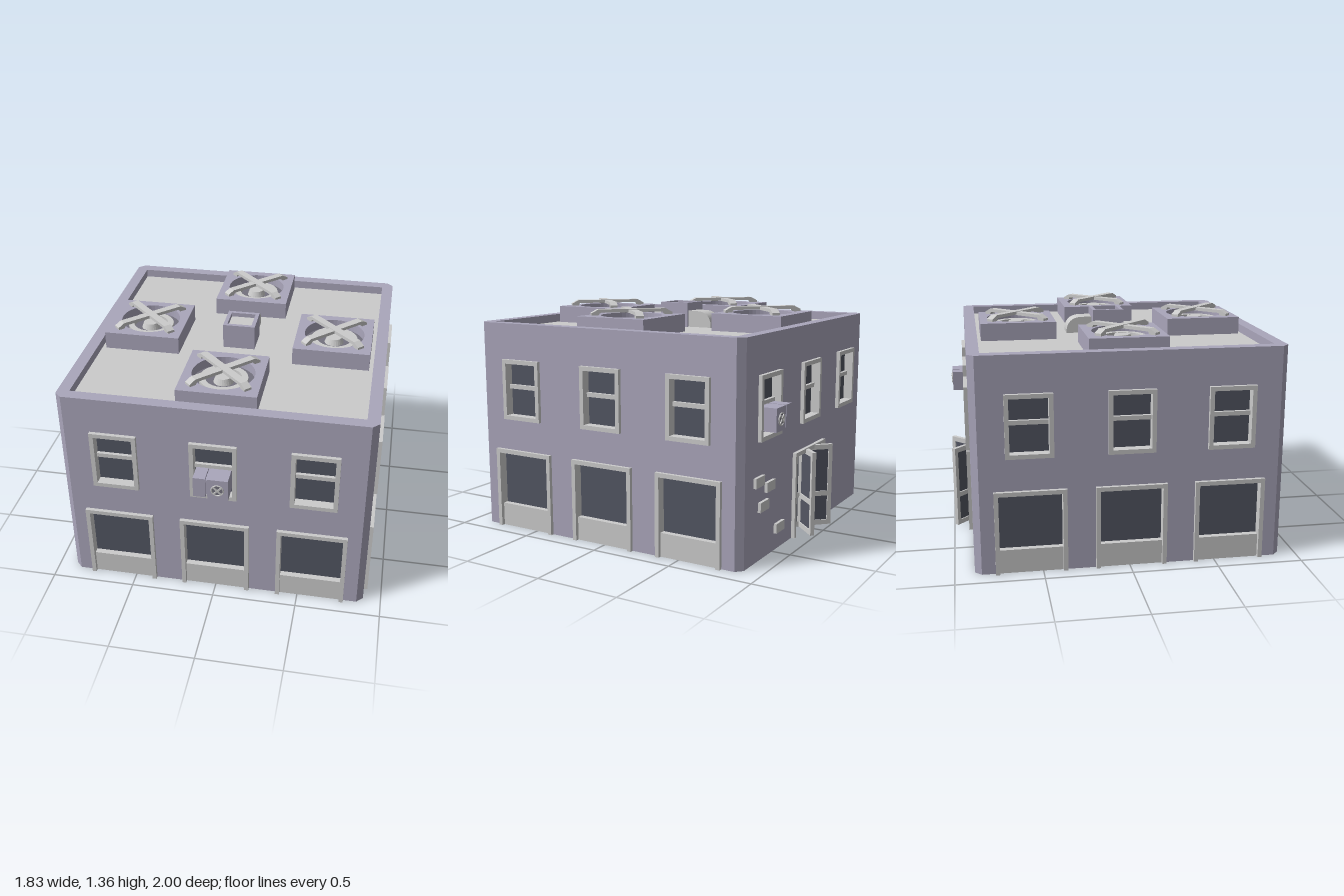
import * as THREE from 'three';

const mat = (color) => new THREE.MeshStandardMaterial({ color, flatShading: true, side: THREE.DoubleSide });
const wallMat = mat(0xaaa6bb), trimMat = mat(0xcccccc), glassMat = mat(0x535663), darkMat = mat(0x74727e);

const H = 0.895, T = 0.07, IN = H - T; // half width, wall thickness, inner half width
const TOP = 1.26, ROOF = 1.21, CZ = 0.008;

function add(parent, name, geo, material, x = 0, y = 0, z = 0) {
  const m = new THREE.Mesh(geo, material);
  m.name = name;
  m.position.set(x, y, z);
  parent.add(m);
  return m;
}

// Box given by its limits
function block(parent, name, material, x0, x1, y0, y1, z0, z1) {
  return add(parent, name, new THREE.BoxGeometry(x1 - x0, y1 - y0, z1 - z0), material,
    (x0 + x1) / 2, (y0 + y1) / 2, (z0 + z1) / 2);
}

const poly = (pts) => new THREE.Shape(pts.map(([x, y]) => new THREE.Vector2(x, y)));
const rect = (x0, x1, y0, y1) => poly([[x0, y0], [x1, y0], [x1, y1], [x0, y1]]);
const extrude = (shape, depth) =>
  new THREE.ExtrudeGeometry(shape, { depth, bevelEnabled: false, curveSegments: 24 });

// Frame with sash bar and two panes, for an upper window
function upperWindow(wall, x) {
  const g = new THREE.Group();
  g.name = 'upperWindow';
  g.position.x = x;
  const s = rect(-0.135, 0.135, 0.68, 1.045);
  s.holes.push(rect(-0.11, 0.11, 0.705, 1.02));
  add(g, 'windowFrame', extrude(s, T + 0.042), trimMat, 0, 0, -T - 0.02);
  block(g, 'sashBar', trimMat, -0.11, 0.11, 0.865, 0.89, -0.055, -0.015);
  block(g, 'windowGlass', glassMat, -0.11, 0.11, 0.705, 1.02, -0.045, -0.035);
  wall.add(g);
}

// Three-sided frame standing on the ground
function portal(parent, half, top) {
  const i = half - 0.025;
  const s = poly([[-half, 0], [-i, 0], [-i, top - 0.025], [i, top - 0.025], [i, 0], [half, 0], [half, top], [-half, top]]);
  add(parent, 'portalFrame', extrude(s, T + 0.042), trimMat, 0, 0, -T - 0.02);
}

// Shop window with a solid panel below the glass
function shopWindow(wall, x) {
  const g = new THREE.Group();
  g.name = 'shopWindow';
  g.position.x = x;
  portal(g, 0.205, 0.49);
  block(g, 'lowerPanel', trimMat, -0.18, 0.18, 0, 0.14, -0.06, 0);
  block(g, 'shopGlass', glassMat, -0.18, 0.18, 0.14, 0.465, -0.045, -0.035);
  wall.add(g);
}

// One wall, outer face on local z = 0, cut for the three windows and the ground openings
function buildWall(name, angle, openings) {
  const g = new THREE.Group();
  g.name = name;
  const pts = [[-IN, 0]];
  for (const [x, half, top] of openings)
    pts.push([x - half, 0], [x - half, top], [x + half, top], [x + half, 0]);
  pts.push([IN, 0], [IN, TOP], [-IN, TOP]);
  const s = poly(pts);
  for (const x of [-0.573, 0, 0.573]) {
    s.holes.push(rect(x - 0.12, x + 0.12, 0.69, 1.035));
    upperWindow(g, x);
  }
  add(g, 'wallPanel', extrude(s, T), wallMat, 0, 0, -T);
  g.rotation.y = angle;
  g.position.set(Math.sin(angle) * H, 0, Math.cos(angle) * H);
  return g;
}

// Rooftop fan: housing, blades ring and crossed guard bars
function roofFan(x, z) {
  const g = new THREE.Group();
  g.name = 'roofFan';
  g.position.set(x, ROOF, z);
  const s = rect(-0.228, 0.228, -0.228, 0.228);
  s.holes.push(new THREE.Path().absarc(0, 0, 0.18, 0, Math.PI * 2, true));
  add(g, 'fanHousing', extrude(s, 0.105).rotateX(-Math.PI / 2), wallMat);
  add(g, 'fanWell', new THREE.CylinderGeometry(0.18, 0.18, 0.02, 32), darkMat, 0, 0.04, 0);
  const ring = [[0.105, 0.05], [0.14, 0.05], [0.14, 0.075], [0.105, 0.075], [0.105, 0.05]];
  add(g, 'fanRing', new THREE.LatheGeometry(ring.map((p) => new THREE.Vector2(...p)), 32), trimMat);
  add(g, 'fanHub', new THREE.CylinderGeometry(0.045, 0.06, 0.04, 24), trimMat, 0, 0.065, 0);
  const bar = poly([[-0.24, 0], [-0.2, 0], [-0.19, 0.016], [0.19, 0.016], [0.2, 0], [0.24, 0],
    [0.24, 0.014], [0.2, 0.035], [-0.2, 0.035], [-0.24, 0.014]]);
  [1, -1].forEach((d, i) => {
    const m = add(g, 'guardBar', extrude(bar, 0.046).translate(0, 0, -0.023), trimMat, 0, 0.105 + i * 0.003, 0);
    m.rotation.y = d * Math.PI / 4;
  });
  return g;
}

// Window air conditioner, back face on local z = 0
function airConditioner() {
  const g = new THREE.Group();
  g.name = 'airConditioner';
  block(g, 'sideUnit', wallMat, -0.1, -0.03, 0.742, 0.868, -0.05, 0.08);
  block(g, 'unitLink', wallMat, -0.03, -0.018, 0.755, 0.855, -0.05, 0.07);
  block(g, 'fanUnit', wallMat, -0.018, 0.1, 0.735, 0.868, -0.05, 0.082);
  add(g, 'unitFanRim', new THREE.TorusGeometry(0.034, 0.004, 6, 24), trimMat, 0.04, 0.8, 0.084);
  add(g, 'unitFanDisc', new THREE.CircleGeometry(0.034, 24), darkMat, 0.04, 0.8, 0.083);
  for (const a of [1, -1])
    add(g, 'unitFanBar', new THREE.BoxGeometry(0.064, 0.009, 0.006), trimMat, 0.04, 0.8, 0.087).rotation.z = a * Math.PI / 4;
  return g;
}

// Four glazed wings on a central post
function revolvingDoor() {
  const g = new THREE.Group();
  g.name = 'revolvingDoor';
  for (let i = 0; i < 4; i++) {
    const w = new THREE.Group();
    w.name = 'doorWing';
    w.rotation.y = Math.PI / 4 + i * Math.PI / 2;
    for (const y of [0.005, 0.19, 0.485]) block(w, 'doorRail', trimMat, 0, 0.2, y, y + 0.03, -0.012, 0.012);
    block(w, 'doorStile', trimMat, 0.175, 0.2, 0.005, 0.515, -0.0125, 0.0125);
    block(w, 'doorGlass', glassMat, 0.01, 0.18, 0.03, 0.49, -0.004, 0.004);
    g.add(w);
  }
  block(g, 'doorPost', trimMat, -0.016, 0.016, 0.003, 0.517, -0.016, 0.016);
  return g;
}

export function createModel() {
  const model = new THREE.Group();
  model.name = 'building';
  const body = new THREE.Group();
  body.name = 'buildingBody';
  body.position.z = CZ;
  model.add(body);

  // Walls with shop windows on three sides and the entrance at the back
  const shops = [-0.573, 0, 0.573];
  const cuts = shops.map((x) => [x, 0.19, 0.475]);
  [['frontWall', 0], ['leftWall', Math.PI / 2], ['rightWall', -Math.PI / 2]].forEach(([name, a]) => {
    const wall = buildWall(name, a, cuts);
    shops.forEach((x) => shopWindow(wall, x));
    body.add(wall);
  });
  const back = buildWall('backWall', Math.PI, [[0, 0.21, 0.505]]);
  portal(back, 0.23, 0.52);
  for (const [x, y] of [[0.70, 0.46], [0.56, 0.405], [0.64, 0.31], [0.425, 0.13]])
    block(back, 'exposedBrick', trimMat, -x - 0.055, -x + 0.055, y - 0.028, y + 0.028, -0.01, 0.018);
  body.add(back);

  // Chamfered corners
  const C = H - 0.038;
  const corner = extrude(poly([[IN, IN], [H, IN], [H, C], [C, H], [IN, H]]), TOP).rotateX(-Math.PI / 2);
  for (let i = 0; i < 4; i++) add(body, 'wallCorner', corner, wallMat).rotation.y = i * Math.PI / 2;

  // Roof and its equipment
  block(body, 'roofDeck', trimMat, -IN, IN, ROOF - 0.03, ROOF, -IN, IN);
  for (const [x, z] of [[-0.573, 0], [0.573, 0], [0, 0.573], [0, -0.573]]) body.add(roofFan(x, z));

  // Square vent with a recessed top and a curved duct behind it
  const vent = rect(-0.097, 0.097, -0.097, 0.097);
  vent.holes.push(rect(-0.074, 0.074, -0.074, 0.074));
  add(body, 'roofVent', extrude(vent, 0.15).rotateX(-Math.PI / 2), wallMat, 0, ROOF, -0.005);
  block(body, 'ventCap', trimMat, -0.074, 0.074, ROOF, ROOF + 0.125, -0.079, 0.069);
  const duct = new THREE.Shape();
  duct.moveTo(0, 0);
  duct.lineTo(0.16, 0);
  duct.lineTo(0.16, 0.02);
  duct.quadraticCurveTo(0.15, 0.1, 0.06, 0.1);
  duct.lineTo(0, 0.1);
  add(body, 'ventDuct', extrude(duct, 0.117).rotateY(Math.PI / 2), trimMat, -0.036, ROOF, -0.1);

  // Air conditioners on the front and back windows
  const frontUnit = airConditioner();
  frontUnit.position.z = H + 0.01;
  const backUnit = airConditioner();
  backUnit.rotation.y = Math.PI;
  backUnit.position.set(0.573, 0, -H - 0.01);
  // fan sits on the same side (+x) of both units
  backUnit.children.forEach((m) => { m.position.x *= -1; });
  body.add(frontUnit, backUnit);

  const door = revolvingDoor();
  door.position.set(0, 0, -0.853);
  body.add(door);
  return model;
}
